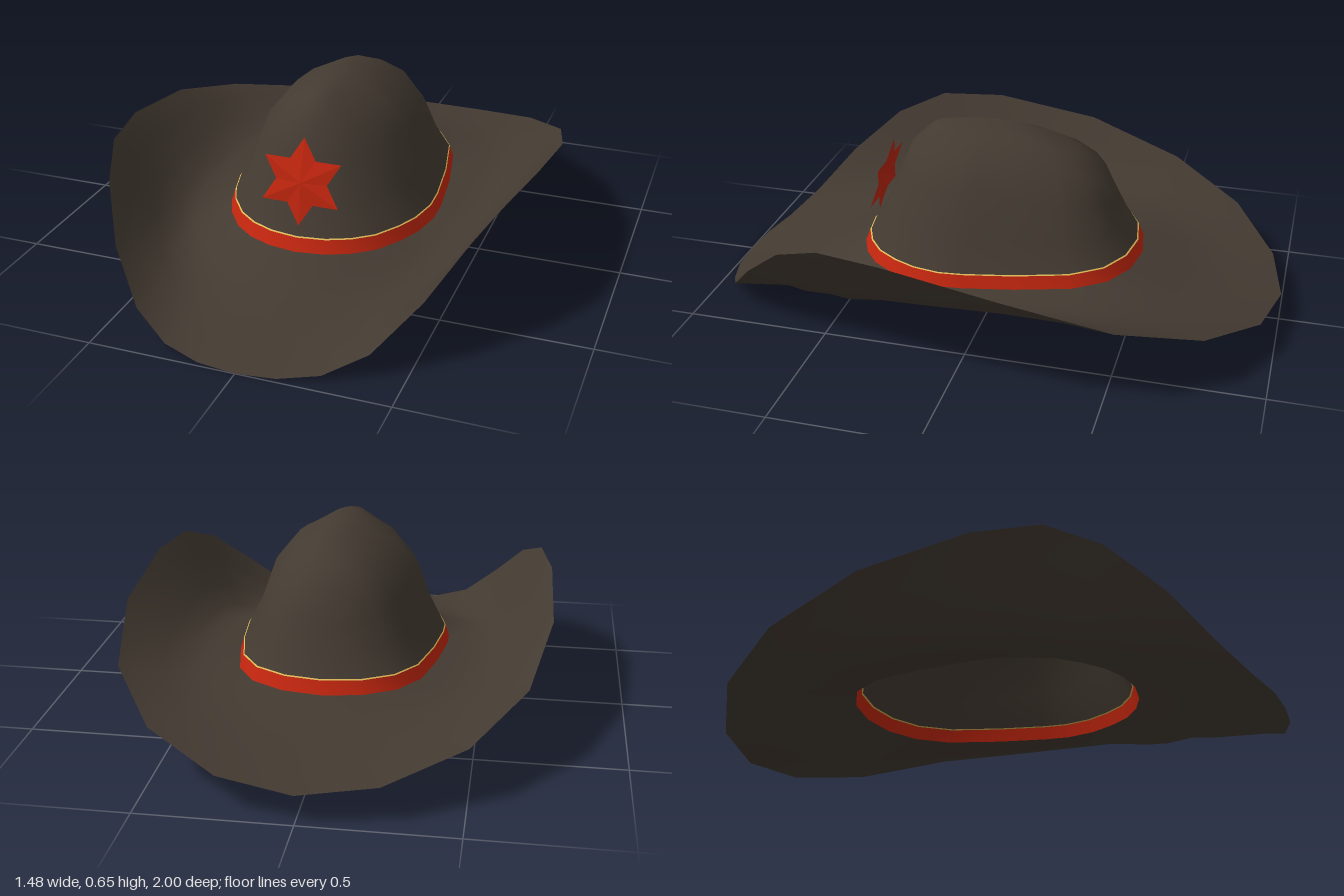
import * as THREE from 'three';
import { mergeVertices } from 'three/addons/utils/BufferGeometryUtils.js';

const mat = (name, color) =>
  new THREE.MeshStandardMaterial({ name, color, side: THREE.DoubleSide });

// Half outlines run from the back, round the +x side, to the front: [x, y, z]
const INNER = [
  [0, 0.2, -0.51], [0.13, 0.2, -0.49], [0.24, 0.2, -0.43], [0.31, 0.195, -0.32], [0.35, 0.185, -0.13],
  [0.37, 0.175, 0.05], [0.37, 0.17, 0.14], [0.345, 0.165, 0.24], [0.31, 0.165, 0.32], [0.25, 0.16, 0.4],
  [0.18, 0.16, 0.455], [0.1, 0.16, 0.49], [0, 0.16, 0.505],
];
const MIDDLE = [
  [0, 0.14, -0.74], [0.19, 0.145, -0.71], [0.36, 0.18, -0.6], [0.48, 0.2, -0.42], [0.53, 0.2, -0.15],
  [0.53, 0.19, 0.12], [0.52, 0.18, 0.28], [0.48, 0.14, 0.41], [0.42, 0.11, 0.5], [0.32, 0.085, 0.59],
  [0.22, 0.075, 0.65], [0.11, 0.07, 0.69], [0, 0.07, 0.7],
];
const RIM = [
  [0, 0.1, -1], [0.25, 0.12, -0.95], [0.5, 0.185, -0.79], [0.67, 0.27, -0.53], [0.74, 0.37, -0.18],
  [0.73, 0.43, 0.2], [0.69, 0.43, 0.43], [0.62, 0.36, 0.6], [0.52, 0.22, 0.76], [0.39, 0.08, 0.88],
  [0.26, 0.02, 0.95], [0.13, 0.005, 0.99], [0, 0, 1],
];

// Skin between half outlines, mirrored across x = 0; rings go from top outward
function loft(halves) {
  const rings = halves.map(h => [...h, ...h.slice(1, -1).reverse().map(([x, y, z]) => [-x, y, z])]);
  const n = rings[0].length;
  const index = [];
  for (let r = 0; r < rings.length - 1; r++) {
    for (let i = 0; i < n; i++) {
      const j = (i + 1) % n, a = r * n, b = a + n;
      index.push(a + i, a + j, b + i, a + j, b + j, b + i);
    }
  }
  const g = new THREE.BufferGeometry();
  g.setAttribute('position', new THREE.Float32BufferAttribute(rings.flat(2), 3));
  g.setIndex(index);
  const merged = mergeVertices(g, 1e-4);
  merged.computeVertexNormals();
  return merged;
}

// Shrink the head opening and raise it
const raised = (scale, dy) => INNER.map(([x, y, z]) => [x * scale, y + dy, z * scale]);

// Crown ring: half width and height at the sides, depth and height at front and back
const crownRing = ([w, ySide, front, yFront, back, yBack]) => INNER.map(([x, , z]) => {
  const t = z > 0 ? z / 0.505 : z / 0.51;
  const end = t > 0 ? yFront : yBack;
  return [(x / 0.37) * w, ySide + (end - ySide) * t * t, t * (t > 0 ? front : back)];
});

export function createModel() {
  const felt = mat('dark brown felt', 0x433a31);
  const red = mat('red', 0xc4260f);
  const gold = mat('pale gold', 0xd8b456);
  const model = new THREE.Group();
  model.name = 'hat';
  const add = (name, geometry, material) => {
    const mesh = new THREE.Mesh(geometry, material);
    mesh.name = name;
    model.add(mesh);
  };

  // Crown, rising to a soft ridge
  const crown = [
    [0, 0.65, 0.2, 0.628, 0.2, 0.59],
    [0.08, 0.612, 0.25, 0.615, 0.28, 0.56],
    [0.17, 0.57, 0.33, 0.54, 0.37, 0.49],
    [0.25, 0.47, 0.37, 0.44, 0.405, 0.4],
    [0.3, 0.33, 0.425, 0.31, 0.445, 0.32],
  ].map(crownRing);
  add('crown', loft([...crown, raised(0.955, 0.047)]), felt);

  // Thin trim and hat band, flaring down to the brim
  add('trim', loft([raised(0.955, 0.047), raised(0.965, 0.044)]), gold);
  add('band', loft([raised(0.965, 0.044), raised(1, 0)]), red);

  // Brim, dipping past the band then curling up at the sides
  const curves = INNER.map((p, i) => new THREE.CatmullRomCurve3(
    [p, MIDDLE[i], RIM[i]].map(q => new THREE.Vector3(...q))));
  const brim = [];
  for (let s = 0; s <= 6; s++) brim.push(curves.map(c => c.getPoint(s / 6).toArray()));
  add('brim', loft(brim), felt);

  // Six-pointed star, leaning with the crown and slightly raised at its centre
  const pts = [];
  for (let i = 0; i < 12; i++) {
    const a = (i * Math.PI) / 6, r = i % 2 ? 0.084 : 0.145;
    const dy = Math.cos(a) * r;
    pts.push([Math.sin(a) * r * 1.06, 0.385 + dy, 0.436 - dy * 0.23]);
  }
  const verts = [];
  pts.forEach((p, i) => verts.push([0, 0.385, 0.447], pts[(i + 1) % 12], p));
  const star = new THREE.BufferGeometry();
  star.setAttribute('position', new THREE.Float32BufferAttribute(verts.flat(), 3));
  star.computeVertexNormals();
  add('star', star, red);

  return model;
}
